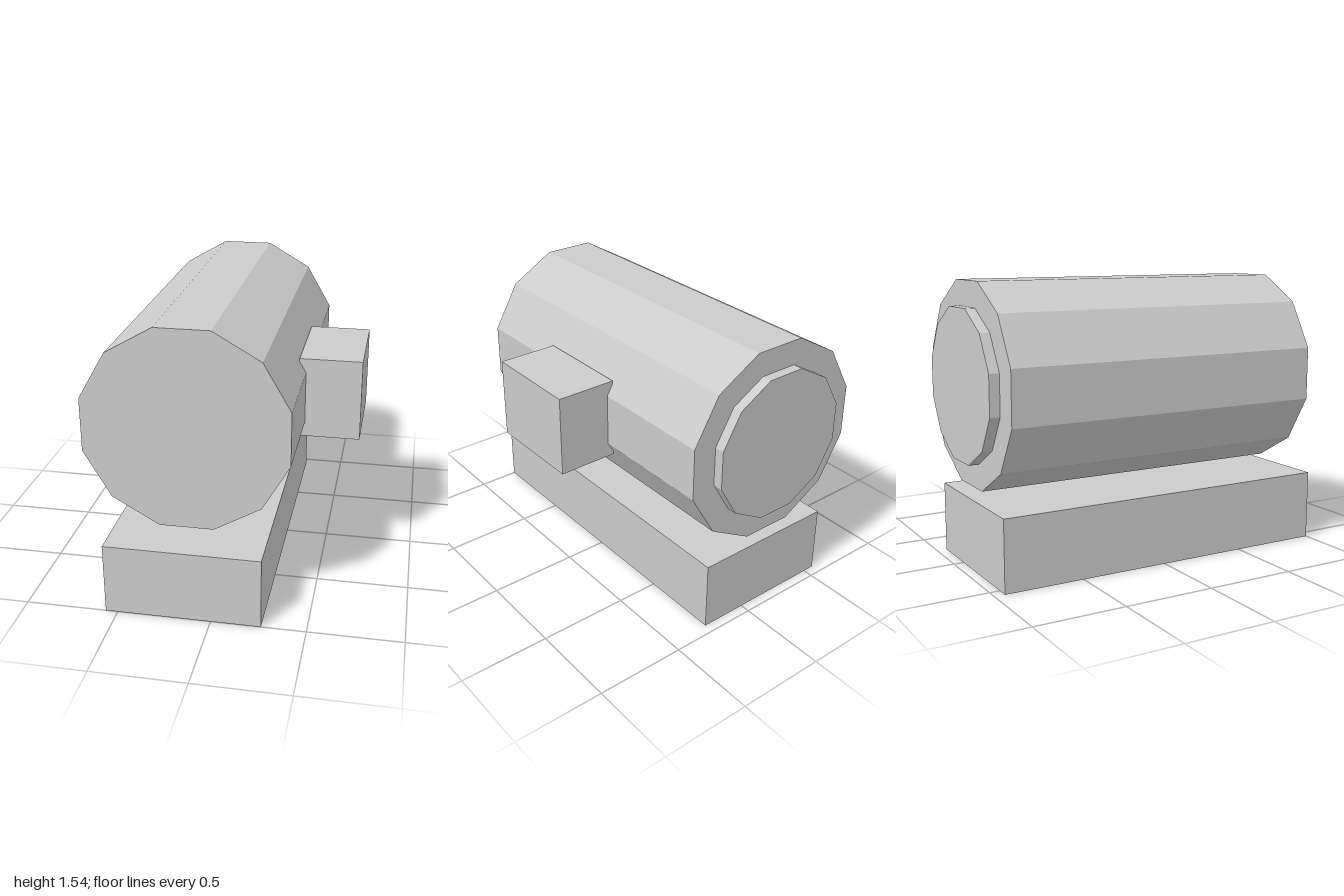
import * as THREE from 'three';

export function createModel() {
  const group = new THREE.Group();
  const material = new THREE.MeshStandardMaterial({ color: 0xcccccc, flatShading: true });

  const add = (name, geometry, x, y, z) => {
    const mesh = new THREE.Mesh(geometry, material);
    mesh.name = name;
    mesh.position.set(x, y, z);
    group.add(mesh);
  };

  // Box given by its extents on each axis
  const box = (name, [x0, x1], [y0, y1], [z0, z1]) =>
    add(name, new THREE.BoxGeometry(x1 - x0, y1 - y0, z1 - z0),
      (x0 + x1) / 2, (y0 + y1) / 2, (z0 + z1) / 2);

  // Twelve-sided drum lying along z, with a flat facet on top
  const drum = (name, radius, z0, z1) => {
    const geometry = new THREE.CylinderGeometry(radius, radius, z1 - z0, 12, 1, false, Math.PI / 12);
    geometry.rotateX(Math.PI / 2);
    add(name, geometry, -0.15, 1.003, (z0 + z1) / 2);
  };

  drum('motorBody', 0.555, -0.945, 0.86);
  drum('rearCap', 0.415, -1, -0.945);
  box('base', [-0.565, 0.265], [0, 0.39], [-0.945, 1]);
  box('terminalBox', [0.35, 0.685], [0.78, 1.225], [-0.25, 0.305]);

  return group;
}
